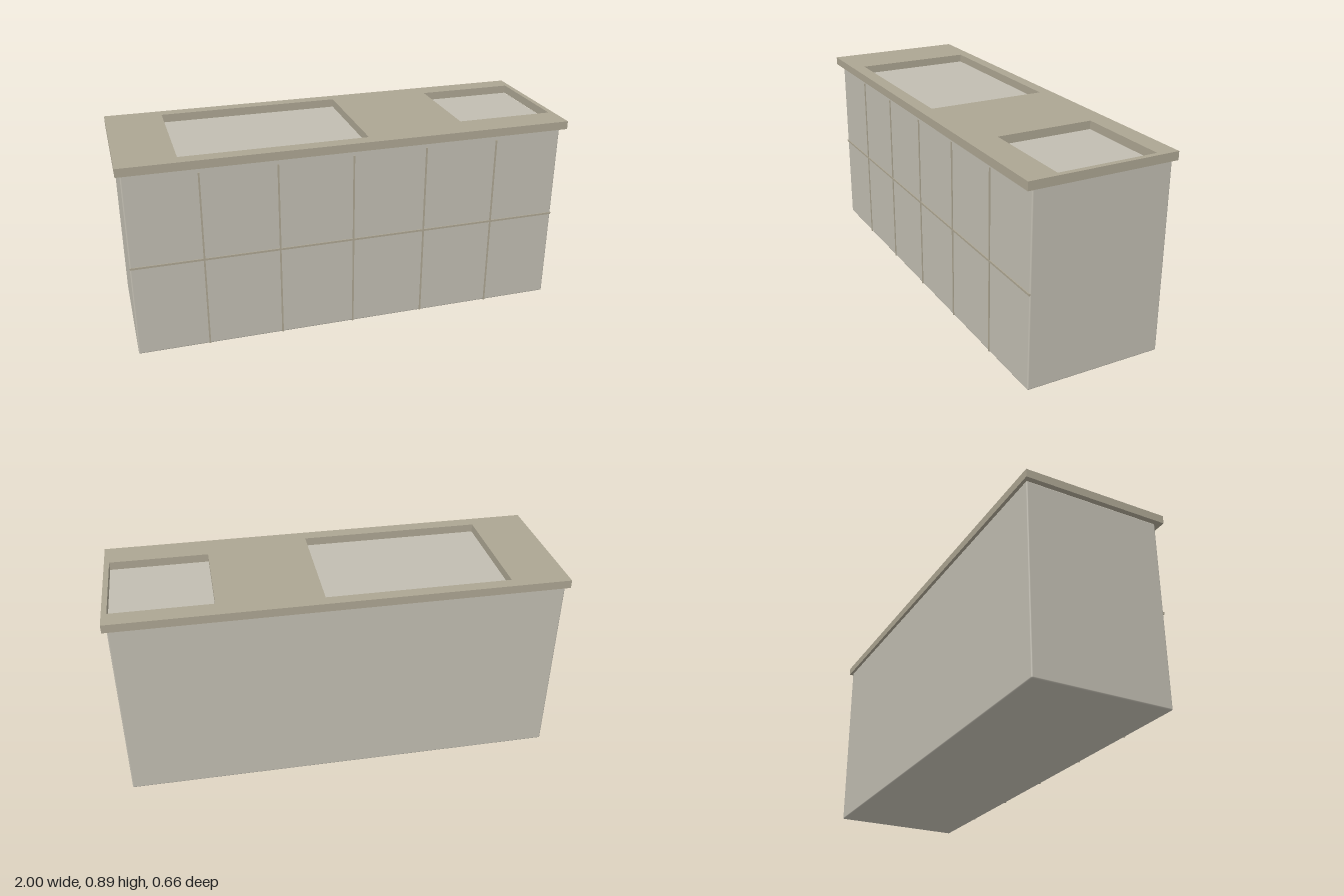
import * as THREE from 'three';
import { RoundedBoxGeometry } from 'three/addons/geometries/RoundedBoxGeometry.js';

const bodyMaterial = new THREE.MeshStandardMaterial({ color: 0xc1bdb1 });
const topMaterial = new THREE.MeshStandardMaterial({ color: 0xaca592 });

// Traces a rectangle on a shape or hole path
function rect(path, x0, y0, x1, y1) {
  path.moveTo(x0, y0);
  path.lineTo(x1, y0);
  path.lineTo(x1, y1);
  path.lineTo(x0, y1);
  path.closePath();
  return path;
}

export function createModel() {
  const model = new THREE.Group();
  const add = (name, geometry, material, x, y, z) => {
    const mesh = new THREE.Mesh(geometry, material);
    mesh.name = name;
    mesh.position.set(x, y, z);
    model.add(mesh);
    return mesh;
  };

  // Cabinet block with softly rounded edges; its top is the floor of both recesses
  add('cabinetBody', new RoundedBoxGeometry(1.96, 0.852, 0.622, 2, 0.006), bodyMaterial, 0, 0.426, -0.011);

  // Worktop with a sink and a hob cut-out; shape y becomes -z
  const slab = rect(new THREE.Shape(), -1, -0.331, 1, 0.334);
  slab.holes.push(
    rect(new THREE.Path(), -0.745, -0.27, 0.075, 0.28),
    rect(new THREE.Path(), 0.535, -0.195, 0.977, 0.247)
  );
  const slabGeometry = new THREE.ExtrudeGeometry(slab, { depth: 0.037, bevelEnabled: false });
  slabGeometry.rotateX(-Math.PI / 2);
  add('worktop', slabGeometry, topMaterial, 0, 0.852, 0);

  // Raised strips dividing the front into door and drawer panels
  for (let i = -2; i <= 2; i++) {
    add('verticalTrim', new THREE.BoxGeometry(0.007, 0.822, 0.006), topMaterial, i / 3, 0.412, 0.301);
  }
  add('horizontalTrim', new THREE.BoxGeometry(1.96, 0.009, 0.006), topMaterial, 0, 0.423, 0.301);

  return model;
}
